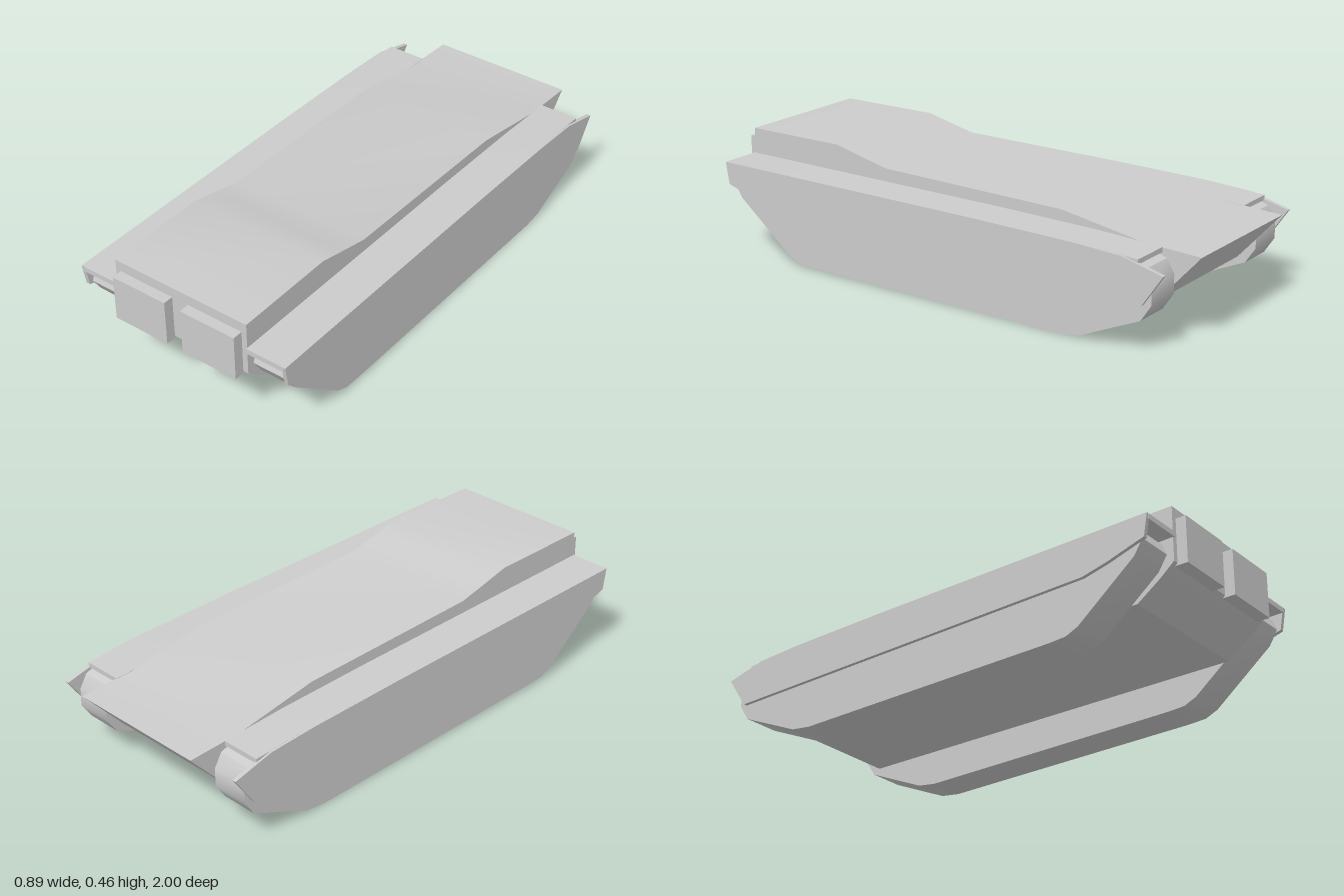
import * as THREE from 'three';
import { toCreasedNormals } from 'three/addons/utils/BufferGeometryUtils.js';

const material = new THREE.MeshStandardMaterial({ color: 0xcccccc, side: THREE.DoubleSide });

// Side profile of [z, y] points, extruded across x from x0 to x1
function profilePart(name, points, x0, x1) {
  const shape = new THREE.Shape(points.map(([z, y]) => new THREE.Vector2(z, y)));
  const geo = new THREE.ExtrudeGeometry(shape, { depth: x1 - x0, bevelEnabled: false });
  geo.rotateY(-Math.PI / 2);
  geo.translate(x1, 0, 0);
  const mesh = new THREE.Mesh(toCreasedNormals(geo, 0.6), material);
  mesh.name = name;
  return mesh;
}

export function createModel() {
  const model = new THREE.Group();
  model.name = 'trackedHull';

  // Central hull with raised front deck and pointed, undercut rear
  model.add(profilePart('hull', [
    [0.96, 0.25], [0.96, 0.458], [0.55, 0.458], [0.44, 0.432], [0.32, 0.405],
    [-0.45, 0.39], [-0.78, 0.335], [-1, 0.325], [-0.83, 0.137],
    [0.81, 0.137], [0.9, 0.2],
  ], -0.283, 0.283));

  for (const side of [1, -1]) {
    const label = side > 0 ? 'left' : 'right';
    const part = (name, points, a, b) =>
      model.add(profilePart(label + name, points, Math.min(a * side, b * side), Math.max(a * side, b * side)));

    // Track run
    part('Track', [
      [0.86, 0.34], [0.92, 0.32], [0.935, 0.28], [0.9, 0.225], [0.67, 0.04], [0.62, 0.018],
      [0.55, 0.014], [-0.54, 0.003], [-0.62, 0.014], [-0.86, 0.12], [-0.9, 0.18],
      [-0.9, 0.25], [-0.87, 0.3], [-0.8, 0.325],
    ], 0.286, 0.43);

    // Fender plate over the track
    part('Fender', [
      [0.965, 0.34], [0.965, 0.36], [-0.2, 0.352], [-0.6, 0.345], [-0.85, 0.333], [-0.85, 0.315],
    ], 0.28, 0.436);

    // Thin outer skirt with a pointed tail
    part('Skirt', [
      [0.965, 0.36], [-0.2, 0.352], [-0.6, 0.345], [-0.79, 0.335], [-0.95, 0.295],
      [-0.87, 0.178], [0.7, 0.207], [0.8, 0.23], [0.95, 0.275],
    ], 0.428, 0.444);

    // Front boxes set into the bow
    const box = new THREE.Mesh(new THREE.BoxGeometry(0.228, 0.177, 0.1), material);
    box.name = label + 'FrontBox';
    box.position.set(side * 0.148, 0.33, 0.95);
    model.add(box);
  }
  return model;
}
